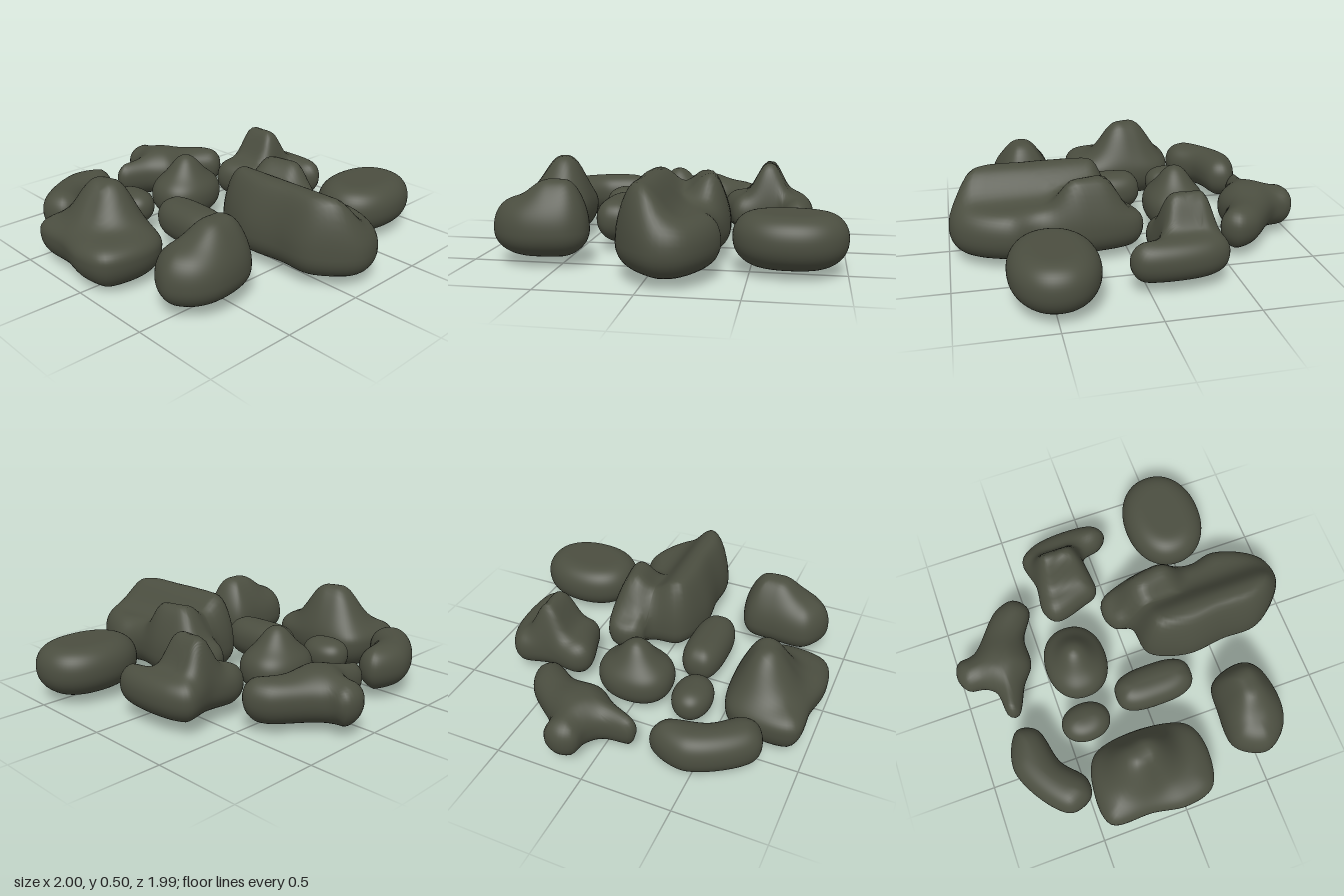
import * as THREE from 'three';
import { mergeVertices } from 'three/addons/utils/BufferGeometryUtils.js';

const SIDES = 80, RINGS = 18, WAIST = 0.2;

// Squared-off oval in plan
function oval(cx, cz, rx, rz, power) {
  const bend = v => Math.sign(v) * Math.abs(v) ** (2 / power);
  return Array.from({ length: 24 }, (_, i) => {
    const angle = i * Math.PI / 12;
    return [cx + rx * bend(Math.cos(angle)), cz + rz * bend(Math.sin(angle))];
  });
}

// Distance from a point to the segment a-b in plan
function segmentDistance(x, z, ax, az, bx, bz) {
  const dx = bx - ax, dz = bz - az;
  const t = THREE.MathUtils.clamp(((x - ax) * dx + (z - az) * dz) / (dx * dx + dz * dz || 1), 0, 1);
  return Math.hypot(ax + dx * t - x, az + dz * t - z);
}

// Rounded boulder over a plan outline; ridges { from, to, rise, width } shape its top.
// The centre must see the whole outline.
function rockGeometry(outline, [cx, cz], top, bottom, round, ridges) {
  const curve = new THREE.CatmullRomCurve3(outline.map(([x, z]) => new THREE.Vector3(x, 0, z)), true);
  const ring = curve.getSpacedPoints(SIDES).slice(0, SIDES).map(p => new THREE.Vector2(p.x, p.z));
  if (!THREE.ShapeUtils.isClockWise(ring)) ring.reverse();

  const edgeDistance = (x, z) => Math.min(...ring.map((a, i) => {
    const b = ring[(i + 1) % SIDES];
    return segmentDistance(x, z, a.x, a.y, b.x, b.y);
  }));
  const crown = (x, z) => ridges.reduce((y, { from, to = from, rise, width }) =>
    y + rise * Math.exp(-((segmentDistance(x, z, ...from, ...to) / width) ** 2.5)), top);

  // Rows run from the top centre, out to the waist, and back to the bottom centre
  const positions = [], index = [];
  for (let i = 0; i <= 2 * RINGS; i++) {
    const s = Math.sin((i / RINGS) * Math.PI / 2);
    const reach = i < RINGS ? round : round * 1.6;
    for (const p of ring) {
      const x = cx + (p.x - cx) * s, z = cz + (p.y - cz) * s;
      const t = i === RINGS ? 0 : Math.min(edgeDistance(x, z) / reach, 1);
      const swell = (1 - (1 - t) ** 2.2) ** (1 / 2.2);
      const target = i < RINGS ? crown(x, z) : bottom;
      positions.push(x, WAIST + (target - WAIST) * swell, z);
    }
  }
  for (let i = 0; i < 2 * RINGS; i++) {
    for (let j = 0; j < SIDES; j++) {
      const a = i * SIDES + j, b = i * SIDES + (j + 1) % SIDES, c = a + SIDES, d = b + SIDES;
      index.push(a, c, d, a, d, b);
    }
  }
  const geometry = new THREE.BufferGeometry();
  geometry.setAttribute('position', new THREE.Float32BufferAttribute(positions, 3));
  geometry.setIndex(index);
  const welded = mergeVertices(geometry, 1e-5);
  welded.computeVertexNormals();
  return welded;
}

export function createModel() {
  const group = new THREE.Group();
  group.name = 'rockCluster';
  const stone = new THREE.MeshStandardMaterial({ color: 0x4b4e40 });
  stone.name = 'dark olive stone';

  function addRock(name, outline, centre, top, bottom, round, ridges = []) {
    const mesh = new THREE.Mesh(rockGeometry(outline, centre, top, bottom, round, ridges), stone);
    mesh.name = name;
    group.add(mesh);
  }

  // Oval rocks
  addRock('smallRoundRock', oval(-0.36, -0.38, 0.11, 0.14, 2.1), [-0.36, -0.38], 0.29, 0.08, 0.11);
  addRock('middlePeakedRock', oval(0, -0.32, 0.215, 0.18, 2.2), [0, -0.32], 0.32, 0.04, 0.14,
    [{ from: [0, -0.32], rise: 0.11, width: 0.1 }]);
  addRock('smallLongRock', oval(-0.285, 0.06, 0.12, 0.23, 2.8), [-0.285, 0.06], 0.31, 0.06, 0.11);
  addRock('frontRightRock', oval(0.705, 0.49, 0.295, 0.235, 2.15), [0.705, 0.49], 0.33, 0.04, 0.13);

  // Broad angular rocks
  addRock('leftPeakedRock',
    [[-0.95, -0.44], [-0.75, -0.47], [-0.56, -0.4], [-0.51, -0.13], [-0.57, 0.15], [-0.72, 0.21], [-0.95, 0.16],
      [-1, 0], [-0.97, -0.2]],
    [-0.76, -0.13], 0.29, 0.01, 0.14,
    [{ from: [-0.7, -0.2], to: [-0.68, -0.14], rise: 0.22, width: 0.15 }]);
  addRock('frontLeftRock',
    [[-0.87, 0.52], [-0.78, 0.36], [-0.56, 0.35], [-0.4, 0.38], [-0.35, 0.57], [-0.42, 0.66], [-0.66, 0.7], [-0.8, 0.64]],
    [-0.61, 0.52], 0.37, 0.05, 0.14, [{ from: [-0.55, 0.52], to: [-0.47, 0.52], rise: 0.1, width: 0.13 }]);

  // Bent and branching rocks
  addRock('backLeftCurvedRock',
    [[-0.82, -0.61], [-0.77, -0.49], [-0.67, -0.48], [-0.53, -0.59], [-0.31, -0.66], [-0.28, -0.77],
      [-0.48, -0.85], [-0.74, -0.72]],
    [-0.56, -0.7], 0.32, 0.05, 0.12);
  addRock('backThreeArmedRock',
    [[-0.19, -0.73], [-0.18, -0.78], [-0.02, -0.81], [0.03, -0.87], [0.05, -0.96], [0.13, -1], [0.22, -0.97],
      [0.24, -0.87], [0.46, -0.67], [0.49, -0.55], [0.41, -0.48], [0.25, -0.56], [0.08, -0.57], [-0.02, -0.64]],
    [0.13, -0.72], 0.31, 0.04, 0.12, [{ from: [0.13, -0.73], rise: 0.03, width: 0.12 }]);
  addRock('rightHookedRock',
    [[0.29, -0.34], [0.36, -0.4], [0.54, -0.39], [0.72, -0.42], [0.79, -0.33], [0.82, -0.1],
      [0.79, 0.07], [0.72, 0.11], [0.66, 0.06], [0.62, -0.06], [0.38, -0.06], [0.33, -0.16]],
    [0.68, -0.27], 0.31, 0.06, 0.11, [{ from: [0.56, -0.3], to: [0.56, -0.14], rise: 0.18, width: 0.09 }]);
  addRock('largeFrontRock',
    [[-0.17, 0.32], [-0.08, 0.1], [0.1, 0.06], [0.12, -0.02], [0.2, -0.07], [0.31, -0.05],
      [0.38, 0.27], [0.34, 0.53], [0.37, 0.67], [0.3, 0.87], [0.2, 0.97], [0.05, 0.98], [-0.14, 0.78], [-0.15, 0.56]],
    [0.12, 0.4], 0.34, 0.05, 0.11,
    [{ from: [-0.03, 0.2], to: [-0.02, 0.82], rise: 0.165, width: 0.14 },
      { from: [0.24, 0.17], to: [0.27, 0.3], rise: 0.15, width: 0.11 },
      { from: [0.22, -0.02], rise: -0.05, width: 0.1 }]);

  return group;
}
